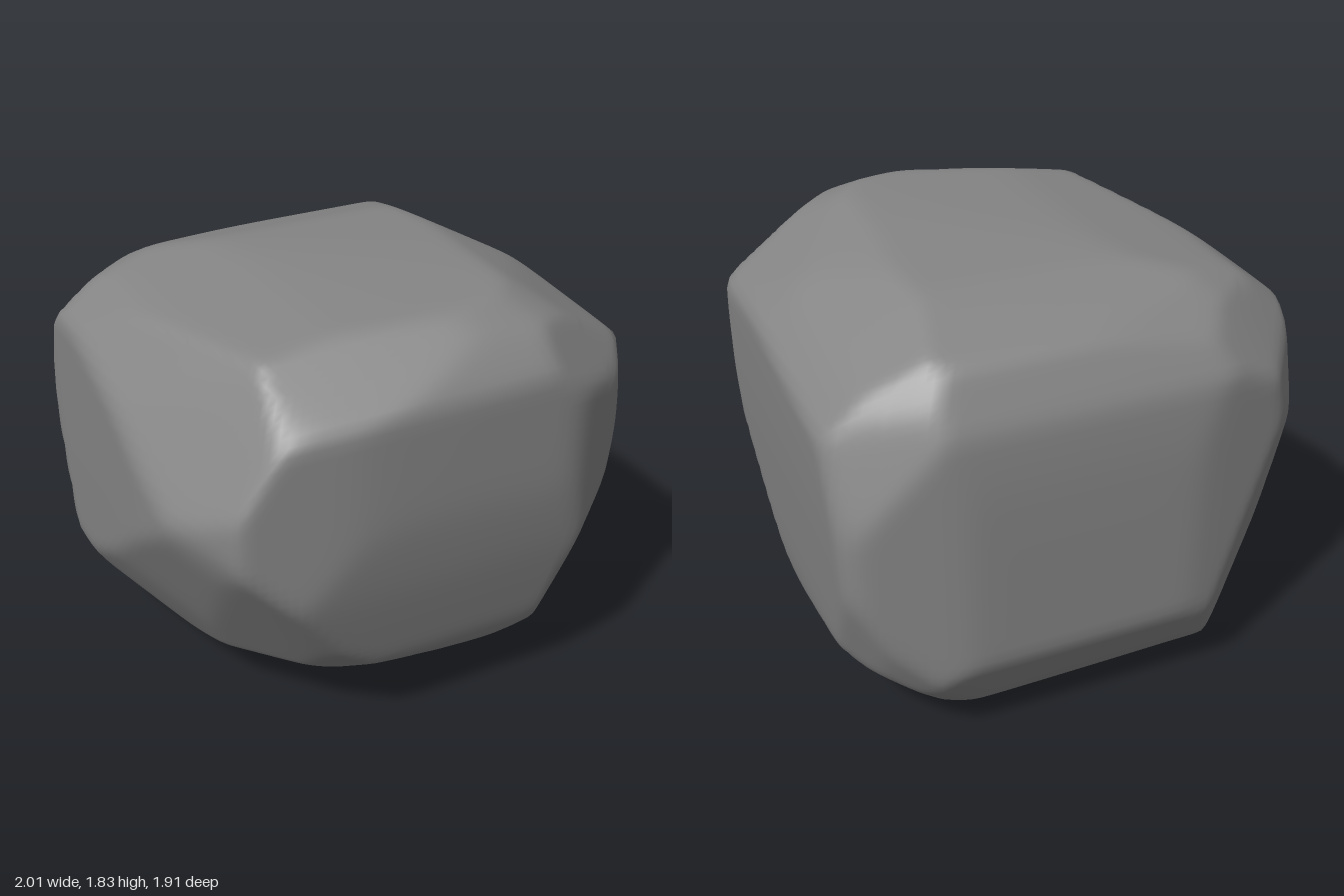
import * as THREE from 'three';
import { mergeVertices } from 'three/addons/utils/BufferGeometryUtils.js';

const CENTRE_Y = 0.915;

// Upright outlines, heights measured from the ground
const frontOutline = [ // x, y
  [-0.99, 1.58], [-0.93, 1.63], [-0.77, 1.7], [-0.3, 1.79], [0.45, 1.83], [0.85, 1.67], [1, 1.52],
  [0.99, 1.1], [0.94, 0.4], [0.91, 0.25], [0.56, 0], [-0.65, 0.1], [-0.82, 0.2], [-0.99, 0.52], [-1, 1.1],
];
const sideOutline = [ // z, y
  [0.74, 1.83], [0.2, 1.82], [-0.43, 1.78], [-0.79, 1.67], [-0.92, 1.44], [-0.945, 1.2], [-0.95, 0.43],
  [-0.79, 0.12], [-0.63, 0.05], [-0.3, 0], [0.2, 0.05], [0.6, 0.14], [0.74, 0.28], [0.8, 0.4],
  [0.9, 0.8], [0.95, 1.15], [0.96, 1.55], [0.9, 1.65],
];
const topOutline = [ // x, z
  [-0.99, -0.65], [-0.95, -0.77], [-0.87, -0.84], [-0.4, -0.95], [0.5, -0.95], [0.92, -0.84], [0.99, -0.8],
  [1, -0.2], [1, 0.6], [0.95, 0.72], [0.62, 0.92], [0.55, 0.94], [-0.1, 0.95], [-0.35, 0.94],
  [-0.83, 0.85], [-0.97, 0.57], [-1, 0.25],
];

// Tilted outlines, measured from the boulder's centre
const obliqueOutlines = [
  { turn: 35, tilt: 25, points: [
    [-1.15, 0.22], [-1.15, -0.06], [-0.76, -0.58], [-0.62, -0.71], [0.07, -1.01], [0.26, -1.01],
    [0.71, -0.85], [1.07, -0.53], [1.24, -0.09], [1.25, 0.19], [1.22, 0.4], [1.04, 0.69], [0.94, 0.8],
    [0, 1.08], [-0.37, 1.06], [-0.62, 0.92], [-0.9, 0.62], [-1, 0.45],
  ] },
  { turn: 215, tilt: 25, points: [
    [-1.26, 0.12], [-1.18, 0.45], [-0.64, 0.91], [-0.1, 1.12], [0.07, 1.14], [0.28, 1.1], [0.96, 0.75],
    [1.04, 0.67], [1.15, 0.39], [1.15, 0.22], [1.1, 0.08], [0.79, -0.48], [0.58, -0.78], [0.37, -1],
    [0.16, -1.1], [0.02, -1.1], [-0.83, -0.87], [-1.02, -0.71], [-1.16, -0.46], [-1.24, -0.21],
  ] },
  { turn: 145, tilt: -25, points: [
    [-1.18, 0.22], [-1.15, 0.56], [-0.73, 0.85], [0.03, 1.13], [0.9, 0.77], [1.14, 0.52], [1.21, 0.17],
    [1.22, -0.28], [1.06, -0.52], [0.94, -0.67], [0.67, -0.78], [0.46, -0.83], [-0.22, -0.87],
    [-0.75, -0.73], [-0.9, -0.65], [-1.06, -0.27], [-1.15, -0.04],
  ] },
];

// Corner facets: normal x, y, z and distance from the centre
const cornerCuts = [
  [-0.65, -0.54, 0.5, 0.91],
  [0.75, -0.4, 0.5, 1.08],
  [-0.66, -0.2, -0.7, 1.12],
  [0.55, 0.3, -0.8, 1.2],
  [0.6, -0.7, -0.35, 1.17],
  [0.5, 0.6, -0.6, 1.22],
  [-0.5, 0.6, -0.6, 1.2],
  [0.5, 0.55, 0.65, 1.23],
];

// One cutting plane per outline edge, as normal / distance from the centre
function outlinePlanes(points, right, up, centreV = 0) {
  return points.map(([u, v], i) => {
    const [u2, v2] = points[(i + 1) % points.length];
    const nu = v2 - v, nv = u - u2;
    const distance = nu * u + nv * (v - centreV);
    return new THREE.Vector3()
      .addScaledVector(right, nu / distance)
      .addScaledVector(up, nv / distance);
  });
}

function obliquePlanes({ turn, tilt, points }) {
  const rotation = new THREE.Euler(
    -THREE.MathUtils.degToRad(tilt), THREE.MathUtils.degToRad(turn), 0, 'YXZ');
  const right = new THREE.Vector3(1, 0, 0).applyEuler(rotation);
  const up = new THREE.Vector3(0, 1, 0).applyEuler(rotation);
  return outlinePlanes(points, right, up);
}

function createBoulderGeometry() {
  const X = new THREE.Vector3(1, 0, 0), Y = new THREE.Vector3(0, 1, 0), Z = new THREE.Vector3(0, 0, 1);
  const planes = [
    ...outlinePlanes(frontOutline, X, Y, CENTRE_Y),
    ...outlinePlanes(sideOutline, Z, Y, CENTRE_Y),
    ...outlinePlanes(topOutline, X, Z),
    ...obliqueOutlines.flatMap(obliquePlanes),
    ...cornerCuts.map(([x, y, z, h]) => new THREE.Vector3(x, y, z).normalize().divideScalar(h)),
  ];

  // Seamless box whose vertices are pushed out to the softened cutting planes
  const box = new THREE.BoxGeometry(2, 2, 2, 40, 40, 40);
  box.deleteAttribute('uv');
  box.deleteAttribute('normal');
  const geometry = mergeVertices(box, 1e-4);
  const position = geometry.attributes.position;
  const dir = new THREE.Vector3();
  const sharpness = 150;
  const reach = 1.01; // makes up for the softened edges
  for (let i = 0; i < position.count; i++) {
    dir.fromBufferAttribute(position, i).normalize();
    let sum = 0;
    for (const n of planes) sum += Math.max(0, n.dot(dir)) ** sharpness;
    dir.multiplyScalar(reach * sum ** (-1 / sharpness));
    position.setXYZ(i, dir.x, dir.y, dir.z);
  }

  // Stand it on the ground
  geometry.center();
  geometry.translate(0, -geometry.boundingBox.min.y, 0);
  geometry.computeVertexNormals();
  return geometry;
}

export function createModel() {
  const group = new THREE.Group();
  group.name = 'rock';
  const boulder = new THREE.Mesh(
    createBoulderGeometry(),
    new THREE.MeshStandardMaterial({ color: 0x858585 }),
  );
  boulder.name = 'boulder';
  group.add(boulder);
  return group;
}
